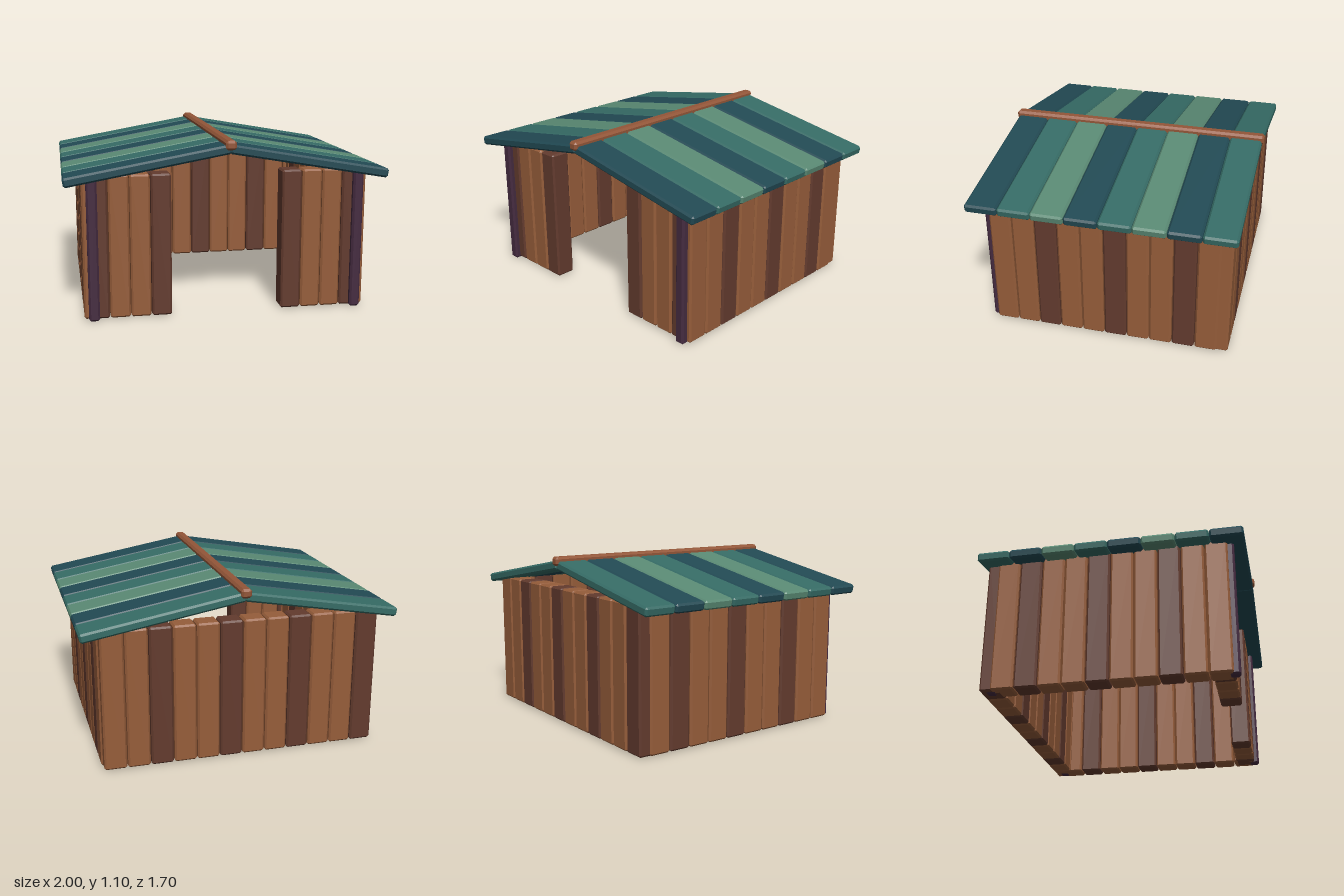
import * as THREE from 'three';
import { ConvexGeometry } from 'three/addons/geometries/ConvexGeometry.js';

function material(name, color) {
  const m = new THREE.MeshStandardMaterial({ color });
  m.name = name;
  return m;
}

// Box with a flat chamfer on every edge: three points at each corner
function bevelBox(w, h, d, b = 0.011) {
  const points = [];
  for (const sx of [-0.5, 0.5]) for (const sy of [-0.5, 0.5]) for (const sz of [-0.5, 0.5]) {
    points.push(
      new THREE.Vector3(sx * w, sy * (h - 2 * b), sz * (d - 2 * b)),
      new THREE.Vector3(sx * (w - 2 * b), sy * h, sz * (d - 2 * b)),
      new THREE.Vector3(sx * (w - 2 * b), sy * (h - 2 * b), sz * d),
    );
  }
  return new ConvexGeometry(points);
}

export function createModel() {
  const brown = material('brown wood', 0x965d3a);
  const dark = material('dark wood', 0x633b2e);
  const plum = material('plum post', 0x452b40);
  const navy = material('navy roof', 0x224a54);
  const teal = material('teal roof', 0x366c66);
  const sage = material('sage roof', 0x5a8a74);
  const ridgeWood = material('ridge wood', 0x935638);

  const shed = new THREE.Group();
  shed.name = 'shed';
  const group = (name) => {
    const g = new THREE.Group();
    g.name = name;
    shed.add(g);
    return g;
  };
  const add = (parent, name, geo, mat, x, y, z) => {
    const m = new THREE.Mesh(geo, mat);
    m.name = name;
    m.position.set(x, y, z);
    parent.add(m);
    return m;
  };

  const bottom = 0.006, top = 0.897, thick = 0.13;
  const height = top - bottom, midY = (top + bottom) / 2;

  // Back wall: twelve planks
  const backWall = group('backWall');
  const pitch = 0.147;
  const backPlank = bevelBox(0.141, height, thick);
  for (let i = 0; i < 12; i++) {
    add(backWall, 'backPlank', backPlank, i % 3 === 0 ? dark : brown, (i - 5.5) * pitch, midY, -0.797 + thick / 2);
  }

  // Side walls: ten planks each
  const sidePlank = bevelBox(thick, height, 0.14);
  for (const s of [1, -1]) {
    const wall = group(s > 0 ? 'leftWall' : 'rightWall');
    for (let i = 0; i < 10; i++) {
      add(wall, 'sidePlank', sidePlank, i % 3 === 2 ? dark : brown, s * (0.889 - thick / 2), midY, (4.5 - i) * 0.146);
    }
  }

  // Front wall: four planks on each side of the opening
  const frontPlank = bevelBox(0.124, height, thick);
  for (const s of [1, -1]) {
    const wall = group(s > 0 ? 'frontWallLeft' : 'frontWallRight');
    for (let i = 0; i < 4; i++) {
      add(wall, 'frontPlank', frontPlank, i % 3 === 0 ? dark : brown, s * (0.41 + i * 0.129), midY, 0.733 - thick / 2);
    }
  }

  // Corner posts
  const posts = group('cornerPosts');
  const post = bevelBox(0.066, top, 0.066, 0.012);
  for (const x of [-0.83, 0.83]) {
    for (const z of [-0.732, 0.732]) add(posts, 'cornerPost', post, plum, x, top / 2, z);
  }

  // Roof: eight striped boards on each slope
  const slope = THREE.MathUtils.degToRad(10);
  const board = bevelBox(1.013, 0.058, 0.206, 0.012);
  const stripes = [navy, teal, sage];
  for (const s of [1, -1]) {
    const side = group(s > 0 ? 'leftRoof' : 'rightRoof');
    for (let i = 0; i < 8; i++) {
      const b = add(side, 'roofBoard', board, stripes[i % 3], s * 0.498, 0.962, (3.5 - i) * 0.209);
      b.rotation.z = -s * slope;
    }
  }

  // Ridge beam
  add(shed, 'ridgeBeam', bevelBox(0.068, 0.058, 1.695, 0.014), ridgeWood, 0, 1.073, 0);

  return shed;
}
